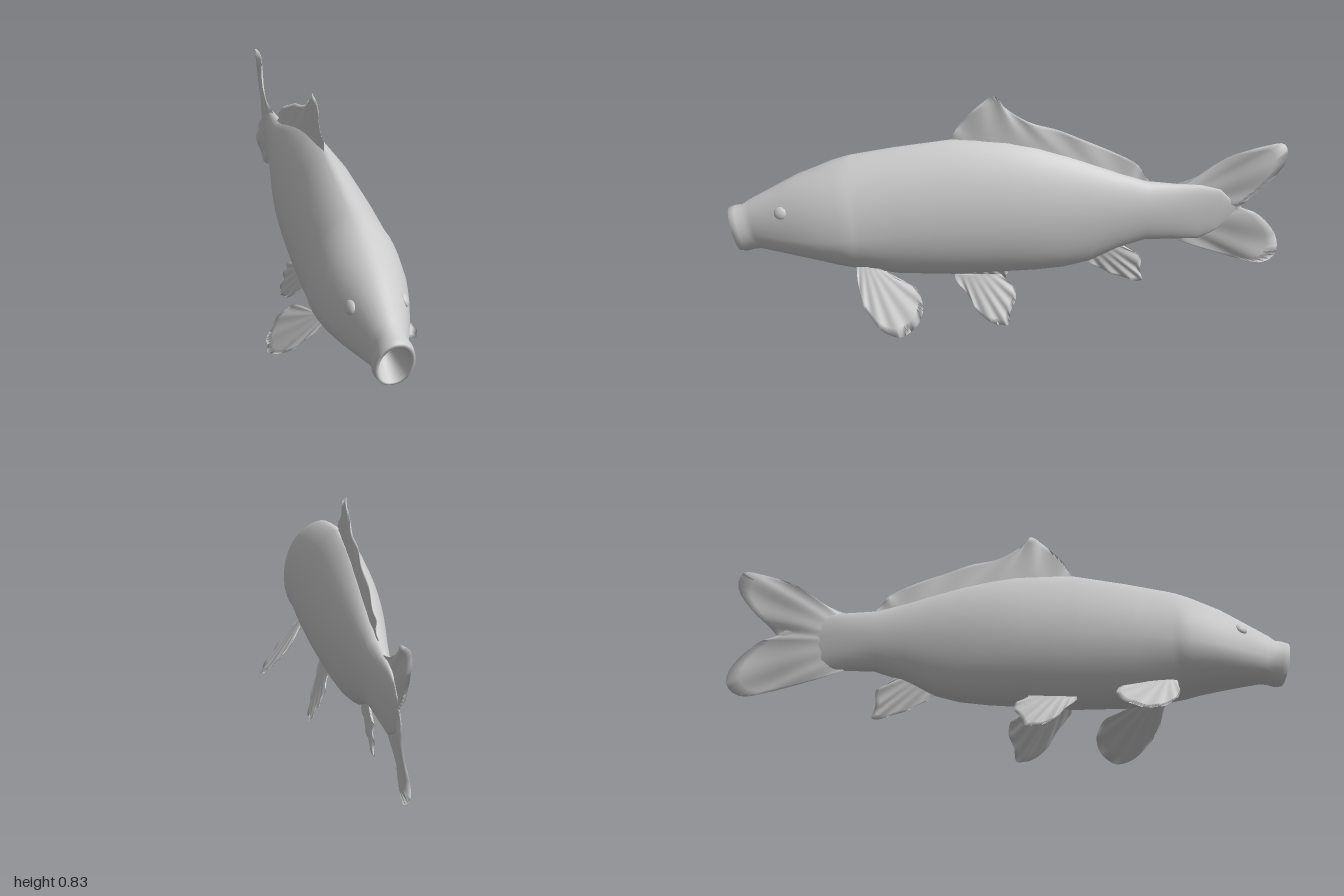
import * as THREE from 'three';

const CX = -0.015; // body centre line
const material = new THREE.MeshStandardMaterial({ color: 0xcccccc, side: THREE.DoubleSide });

// Builds a smooth surface from a grid of points; rows may wrap around.
function gridSurface(rows, wrap) {
  const n = rows[0].length;
  const index = [];
  for (let i = 0; i < rows.length - 1; i++) {
    for (let j = 0; j < (wrap ? n : n - 1); j++) {
      const k = (j + 1) % n;
      const a = i * n + j, b = i * n + k, c = a + n, d = b + n;
      index.push(a, c, b, b, c, d);
    }
  }
  const geometry = new THREE.BufferGeometry();
  geometry.setAttribute('position', new THREE.Float32BufferAttribute(rows.flat(2), 3));
  geometry.setIndex(index);
  geometry.computeVertexNormals();
  return geometry;
}

function addMesh(parent, name, geometry) {
  const mesh = new THREE.Mesh(geometry, material);
  mesh.name = name;
  parent.add(mesh);
  return mesh;
}

// Cross-sections from inside the mouth to the tail: z, top, bottom, half width.
const SECTIONS = [
  [0.87, 0.365, 0.35, 0.006],
  [0.90, 0.40, 0.315, 0.03],
  [0.98, 0.428, 0.288, 0.05],
  [0.978, 0.440, 0.278, 0.06],
  [0.955, 0.447, 0.275, 0.064],
  [0.925, 0.452, 0.282, 0.058],
  [0.90, 0.468, 0.285, 0.066],
  [0.80, 0.532, 0.270, 0.104],
  [0.74, 0.563, 0.257, 0.124],
  [0.67, 0.590, 0.240, 0.142],
  [0.61, 0.610, 0.224, 0.151],
  [0.565, 0.624, 0.212, 0.153],
  [0.54, 0.631, 0.204, 0.146],
  [0.40, 0.657, 0.174, 0.144],
  [0.20, 0.682, 0.160, 0.136],
  [0, 0.665, 0.163, 0.124],
  [-0.10, 0.643, 0.164, 0.114],
  [-0.20, 0.612, 0.170, 0.100],
  [-0.30, 0.575, 0.192, 0.083],
  [-0.40, 0.535, 0.240, 0.066],
  [-0.50, 0.500, 0.270, 0.051],
  [-0.60, 0.488, 0.268, 0.038],
  [-0.70, 0.480, 0.265, 0.021],
  [-0.77, 0.460, 0.300, 0.010],
  [-0.83, 0.400, 0.365, 0.002],
];

function bodyGeometry() {
  const rows = SECTIONS.map(([z, top, bottom, half]) => {
    // the widest height drops towards the head; the back is sharpest amidships
    const mid = 0.39 - 0.03 * THREE.MathUtils.smoothstep(z, 0.2, 0.9);
    const sharp = 0.95 + 0.55 * Math.exp(-(((z - 0.1) / 0.5) ** 2));
    const ring = [];
    for (let j = 0; j < 36; j++) {
      const a = (j / 36) * Math.PI * 2;
      const c = Math.cos(a), s = Math.sin(a);
      const x = CX + half * Math.sign(c) * Math.abs(c) ** (s > 0 ? sharp : 0.9);
      const y = mid + s * (s > 0 ? top - mid : mid - bottom);
      // the mouth leans forward at the top; the gill edge bows backward at mid height
      const lean = z > 0.86 ? (y - 0.36) * 0.2 : 0;
      const bow = z > 0.52 && z < 0.62 ? 0.03 * s * s - 0.015 : 0;
      ring.push([x, y, z + lean + bow]);
    }
    return ring;
  });
  return gridSurface(rows, true);
}

// Thin fin between a root line and an outline, both in [z, y]; place() gives x.
function finGeometry(root, outline, place, thickness = 0.007) {
  const curve = (pts) => new THREE.CatmullRomCurve3(
    pts.map(([z, y]) => new THREE.Vector3(0, y, z)), false, 'centripetal');
  const U = 48, V = 8;
  const a = curve(root).getPoints(U), b = curve(outline).getPoints(U);
  const face = (sign) => {
    const rows = [];
    for (let i = 0; i <= V; i++) {
      const v = i / V;
      rows.push(a.map((p, j) => {
        const u = j / U;
        const q = p.clone().lerp(b[j], v);
        const thick = sign * thickness * (1 - v) * Math.sin(Math.PI * u);
        const ripple = 0.004 * v * Math.sin(u * 42);
        return [place(q.y, q.z) + thick + ripple, q.y, q.z];
      }));
    }
    return rows;
  };
  // out along one face, then back along the other, sharing the outer edge
  return gridSurface([...face(1), ...face(-1).reverse().slice(1)], false);
}

export function createModel() {
  const fish = new THREE.Group();
  fish.name = 'fish';
  addMesh(fish, 'body', bodyGeometry());

  // Fins on the centre line
  addMesh(fish, 'dorsalFin', finGeometry(
    [[0.2, 0.675], [0.05, 0.66], [-0.2, 0.6], [-0.4, 0.525], [-0.51, 0.49]],
    [[0.2, 0.69], [0.17, 0.735], [0.09, 0.815], [0.045, 0.835], [0.01, 0.79], [-0.08, 0.735],
      [-0.2, 0.695], [-0.33, 0.635], [-0.45, 0.575], [-0.48, 0.54], [-0.51, 0.495]],
    () => -0.02, 0.012));
  addMesh(fish, 'tailFin', finGeometry(
    [[-0.6, 0.475], [-0.66, 0.38], [-0.6, 0.28]],
    [[-0.6, 0.487], [-0.68, 0.51], [-0.8, 0.59], [-0.92, 0.635], [-0.985, 0.635], [-1, 0.58],
      [-0.94, 0.485], [-0.87, 0.42], [-0.85, 0.39], [-0.91, 0.365], [-0.985, 0.28], [-1, 0.2],
      [-0.95, 0.163], [-0.85, 0.177], [-0.7, 0.225], [-0.6, 0.268]],
    (y, z) => CX + 0.012 * Math.sin((z + 0.6) * 14), 0.012));
  addMesh(fish, 'analFin', finGeometry(
    [[-0.29, 0.2], [-0.36, 0.235], [-0.43, 0.265]],
    [[-0.29, 0.185], [-0.36, 0.14], [-0.44, 0.105], [-0.5, 0.093], [-0.49, 0.14],
      [-0.49, 0.2], [-0.45, 0.225], [-0.43, 0.255]],
    () => -0.012));

  for (const [side, name] of [[1, 'left'], [-1, 'right']]) {
    // Paired fins, splayed outward; the right ones are held a little higher
    const raise = (pts, base, factor) => (side > 0 ? pts
      : pts.map(([z, y]) => [z, base + (y - base) * factor]));
    const drop = (y, base) => Math.max(-0.03, base - y);

    addMesh(fish, name + 'PectoralFin', finGeometry(
      raise([[0.55, 0.245], [0.5, 0.235], [0.44, 0.225]], 0.235, 0.9),
      raise([[0.55, 0.225], [0.535, 0.15], [0.49, 0.09], [0.42, 0.053], [0.355, 0.07],
        [0.315, 0.125], [0.335, 0.18], [0.44, 0.215]], 0.235, 0.9),
      (y, z) => CX + side * (0.1 + 0.94 * drop(y, 0.235)) + (side > 0 ? (0.44 - z) * 0.15 : 0)));

    addMesh(fish, name + 'PelvicFin', finGeometry(
      raise([[0.2, 0.18], [0.12, 0.175], [0.03, 0.175]], 0.165, 0.75),
      raise([[0.2, 0.165], [0.15, 0.1], [0.11, 0.04], [0.05, 0.005], [0.01, 0.005],
        [0, 0.05], [-0.02, 0.085], [-0.015, 0.13], [0.03, 0.168]], 0.165, 0.75),
      (y) => CX + side * (0.07 + 0.42 * drop(y, 0.165))));

    // Eyes
    const eye = addMesh(fish, name + 'Eye', new THREE.SphereGeometry(0.022, 16, 12));
    eye.scale.set(0.5, 1, 1.1);
    eye.position.set(CX + side * 0.084, 0.455, 0.8);
    eye.rotation.set(0, -side * 0.3, side * 0.4);
  }
  return fish;
}
